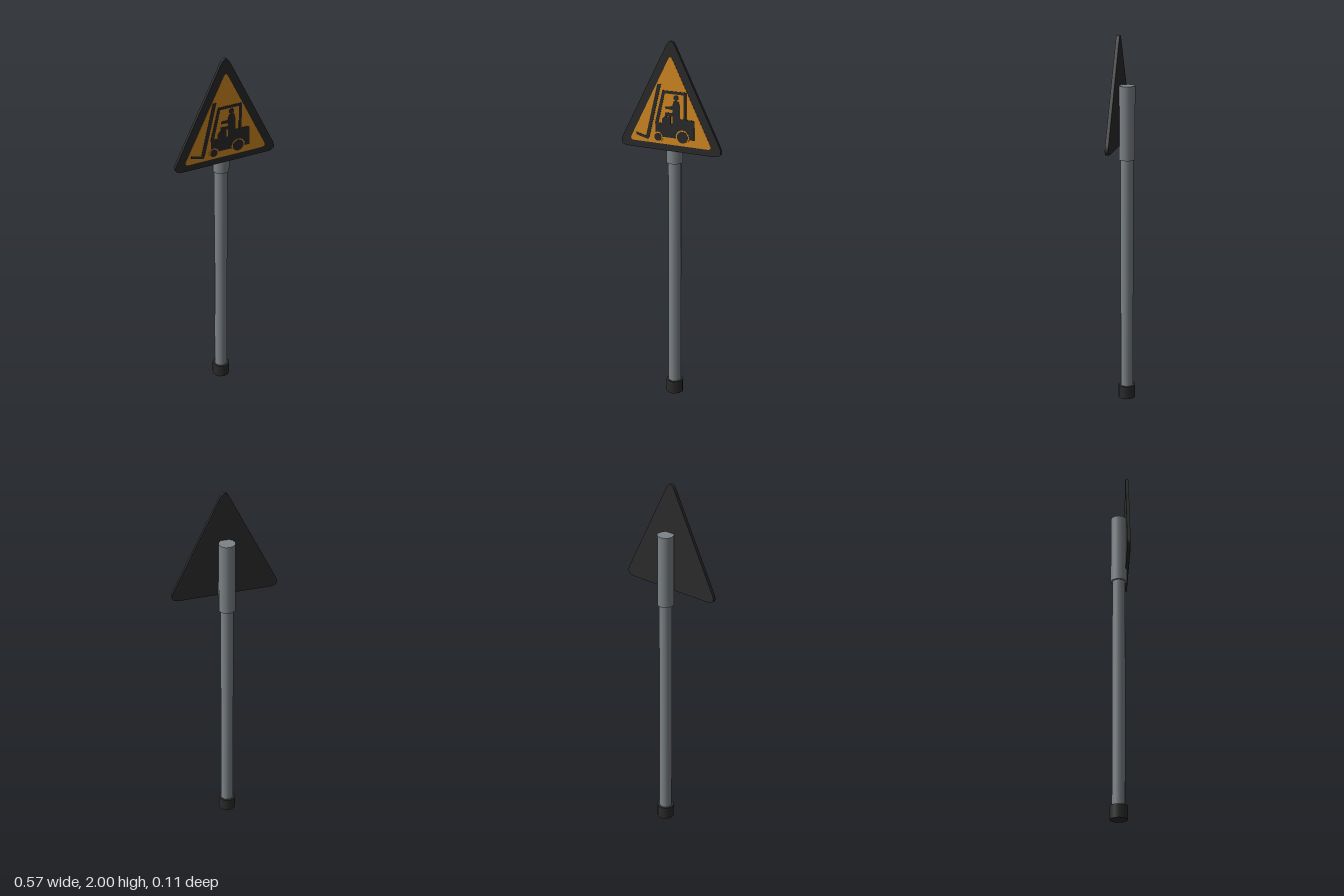
import * as THREE from 'three';

const material = (name, color) => {
  const m = new THREE.MeshStandardMaterial({ color });
  m.name = name;
  return m;
};

export function createModel() {
  const group = new THREE.Group();
  const dark = material('black', 0x2b2b2b);
  const orange = material('orange', 0xd68b22);
  const grey = material('steel grey', 0x7d8387);

  const add = (parent, name, geometry, mat) => {
    const mesh = new THREE.Mesh(geometry, mat);
    mesh.name = name;
    parent.add(mesh);
    return mesh;
  };

  // Post: twelve-sided tubes on a shared axis
  const tube = (name, radius, y0, y1, mat) => {
    const mesh = add(group, name, new THREE.CylinderGeometry(radius, radius, y1 - y0, 12), mat);
    mesh.position.set(0, (y0 + y1) / 2, -0.007);
  };
  tube('baseCap', 0.047, 0, 0.072, dark);
  tube('pole', 0.035, 0.06, 1.36, grey);
  tube('sleeve', 0.044, 1.345, 1.738, grey);

  // Flat shape extruded between two depths
  const plate = (parent, name, shape, z0, z1, mat) => {
    const geometry = new THREE.ExtrudeGeometry(shape, { depth: z1 - z0, bevelEnabled: false, curveSegments: 8 });
    geometry.translate(0, 0, z0);
    return add(parent, name, geometry, mat);
  };

  const polygon = (points) => new THREE.Shape(points.map(([x, y]) => new THREE.Vector2(x, y)));

  // Triangle with corners rounded over a given length
  const roundedTriangle = (halfWidth, bottom, top, cut) => {
    const corners = [[-halfWidth, bottom], [halfWidth, bottom], [0, top]].map(([x, y]) => new THREE.Vector2(x, y));
    const shape = new THREE.Shape();
    corners.forEach((c, i) => {
      const toward = (other) => other.clone().sub(c).setLength(cut).add(c);
      const a = toward(corners[(i + 2) % 3]);
      const b = toward(corners[(i + 1) % 3]);
      if (i === 0) shape.moveTo(a.x, a.y);
      else shape.lineTo(a.x, a.y);
      shape.quadraticCurveTo(c.x, c.y, b.x, b.y);
    });
    shape.closePath();
    return shape;
  };

  // Sign board and coloured face
  const sign = new THREE.Group();
  sign.name = 'sign';
  group.add(sign);
  plate(sign, 'signBoard', roundedTriangle(0.302, 1.42, 2.027, 0.06), 0.029, 0.047, dark);
  plate(sign, 'signFace', roundedTriangle(0.236, 1.455, 1.931, 0.028), 0.046, 0.0485, orange);

  // Forklift pictogram
  const truck = new THREE.Group();
  truck.name = 'forkliftPictogram';
  sign.add(truck);
  const pictogram = (name, points) => plate(truck, name, polygon(points), 0.048, 0.0505, dark);

  pictogram('mastAndFork', [
    [-0.196, 1.488], [-0.127, 1.47], [-0.118, 1.49], [-0.053, 1.772],
    [-0.073, 1.772], [-0.139, 1.488], [-0.196, 1.502],
  ]);
  pictogram('overheadGuard', [
    [-0.088, 1.56], [-0.069, 1.56], [-0.032, 1.727], [0.074, 1.727], [0.074, 1.59],
    [0.09, 1.59], [0.09, 1.742], [-0.044, 1.742],
  ]);
  pictogram('body', [
    [-0.085, 1.493], [0.136, 1.493], [0.136, 1.592], [0.129, 1.599], [0.012, 1.599],
    [0.012, 1.567], [0.003, 1.567], [0.003, 1.606], [-0.03, 1.606], [-0.048, 1.59],
    [-0.048, 1.567], [-0.085, 1.567],
  ]);
  pictogram('driver', [
    [0.012, 1.595], [0.055, 1.595], [0.055, 1.66], [0.046, 1.692], [0.02, 1.692],
    [0.01, 1.66], [-0.028, 1.658], [-0.028, 1.646], [0.012, 1.643], [0.012, 1.626],
    [-0.03, 1.626], [-0.03, 1.608], [0.012, 1.608],
  ]);

  // Round details: driver's head and two rimmed wheels
  const disc = (name, x, y, radius, z1, mat) => {
    const shape = new THREE.Shape();
    shape.absarc(x, y, radius, 0, Math.PI * 2);
    plate(truck, name, shape, 0.048, z1, mat);
  };
  disc('driverHead', 0.032, 1.708, 0.014, 0.0505, dark);
  for (const [name, x, y, radius] of [['frontWheel', -0.069, 1.49, 0.021], ['rearWheel', 0.07, 1.503, 0.031]]) {
    disc(name + 'Rim', x, y, radius + 0.007, 0.0517, orange);
    disc(name, x, y, radius, 0.0527, dark);
  }

  return group;
}
